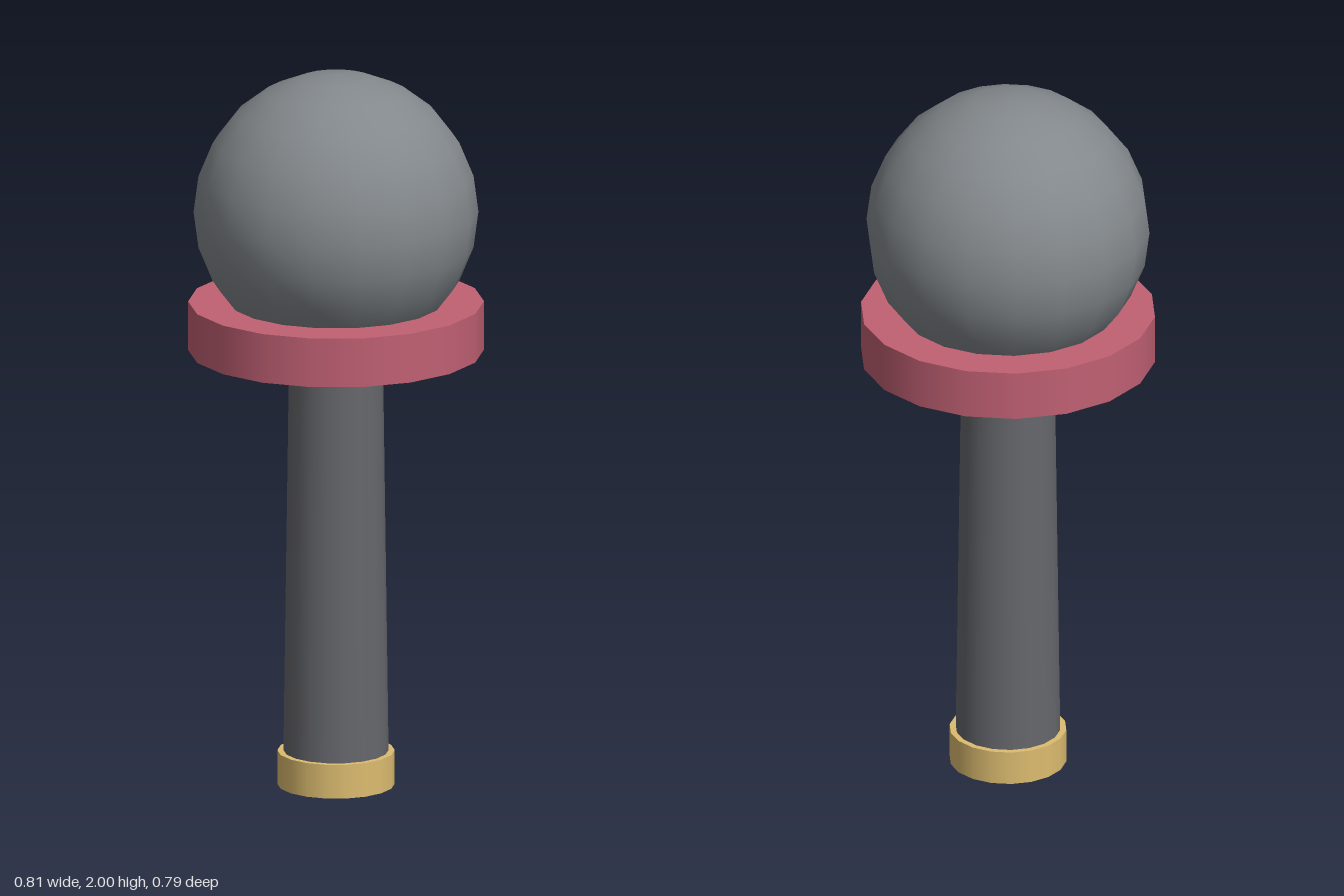
import * as THREE from 'three';

const SIDES = 18;

export function createModel() {
  const model = new THREE.Group();

  const add = (name, geometry, color, y) => {
    const mesh = new THREE.Mesh(geometry, new THREE.MeshStandardMaterial({ color }));
    mesh.name = name;
    mesh.position.y = y;
    model.add(mesh);
  };

  // Upright drum between two heights, with corners on the x axis
  const drum = (name, rTop, rBottom, y0, y1, color) =>
    add(name, new THREE.CylinderGeometry(rTop, rBottom, y1 - y0, SIDES, 1, false, Math.PI / 2),
      color, (y0 + y1) / 2);

  // End cap, tapered grip and wide collar
  drum('endCap', 0.16, 0.16, 0, 0.095, 0xdcbc70);
  drum('handle', 0.128, 0.144, 0.04, 1.197, 0x66676c);
  drum('collar', 0.403, 0.403, 1.223, 1.36, 0xc06073);

  // Ball head resting in the collar
  add('head', new THREE.SphereGeometry(0.388, SIDES, 12), 0x83888c, 1.612);

  return model;
}
